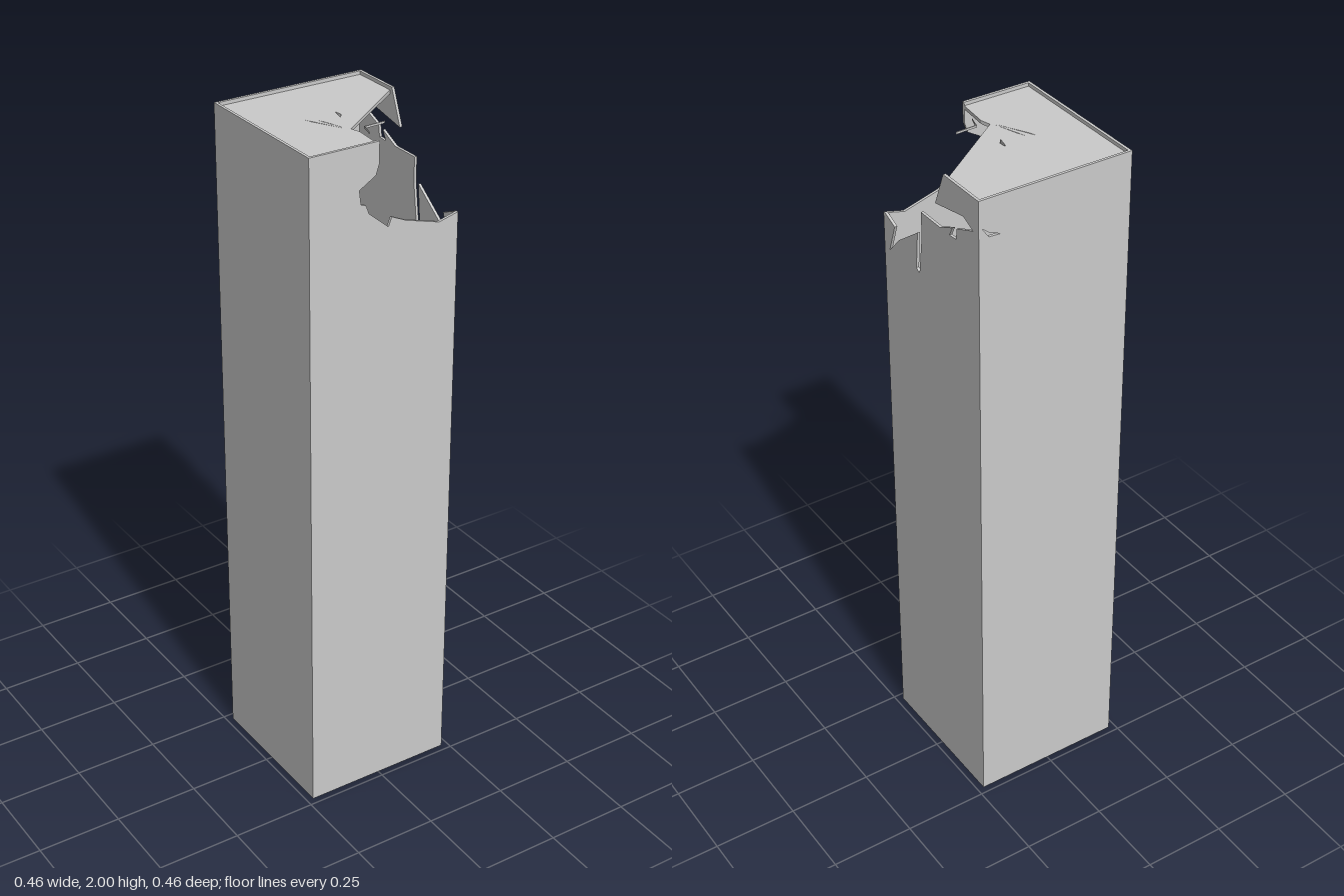
import * as THREE from 'three';

const H = 2, R = 0.23, T = 0.008, IN = R - T;
const material = new THREE.MeshStandardMaterial({ color: 0xcccccc, flatShading: true });

// Flat slab: 2D outline with optional holes, given a thickness
function slab(name, points, depth, holes = []) {
  const toVec = (p) => new THREE.Vector2(p[0], p[1]);
  const shape = new THREE.Shape(points.map(toVec));
  for (const hole of holes) shape.holes.push(new THREE.Path(hole.map(toVec)));
  const geometry = new THREE.ExtrudeGeometry(shape, { depth, bevelEnabled: false });
  const mesh = new THREE.Mesh(geometry, material);
  mesh.name = name;
  return mesh;
}

// Horizontal slab from [x, z] points, with its underside at height y
function level(name, points, y, depth, holes = []) {
  const flip = (list) => list.map(([x, z]) => [x, -z]);
  const mesh = slab(name, flip(points), depth, holes.map(flip));
  mesh.geometry.rotateX(-Math.PI / 2);
  mesh.position.y = y;
  return mesh;
}

const rect = (w, y0, y1) => [[-w, y0], [w, y0], [w, y1], [-w, y1]];

export function createModel() {
  const tower = new THREE.Group();
  tower.name = 'damagedTower';

  // Front wall with its upper corner torn away
  const front = slab('frontWall', [
    [-R, 0], [R, 0], [R, 1.75], [0.17, 1.735], [0.065, 1.765], [0.02, 1.785], [0.01, 1.76],
    [-0.05, 1.81], [-0.06, 1.835], [-0.075, 1.84], [-0.08, 1.88], [-0.03, 1.91],
    [-0.02, 1.94], [-0.02, H], [-R, H],
  ], T);
  front.position.z = IN;

  // Right wall, outline in [z, y], with jagged slits below the hole
  const rightOutline = [
    [IN, 0], [IN, 1.75], [0.175, 1.73], [0.205, 1.645], [0.155, 1.7], [0.06, 1.77],
    [0.07, 1.66], [0.055, 1.65], [0.04, 1.765], [0.04, 1.84], [-0.05, 1.84], [-0.11, 1.868],
    [-0.095, 1.84], [-0.125, 1.842], [-0.13, 1.875], [-0.205, 1.905], [-0.16, 1.925],
    [-0.03, 1.9], [-0.07, H], [-IN, H], [-IN, 0],
  ];
  const right = slab('rightWall', rightOutline.map(([z, y]) => [-z, y]), T);
  right.rotation.y = Math.PI / 2;
  right.position.x = IN;

  // Intact left wall, and back wall pierced by a small crack
  const left = slab('leftWall', rect(IN, 0, H), T);
  left.rotation.y = Math.PI / 2;
  left.position.x = -R;
  const back = slab('backWall', rect(R, 0, H), T,
    [[[0.165, 1.89], [0.2, 1.892], [0.22, 1.92], [0.198, 1.903]]]);
  back.position.z = -R;

  // Floor closing the hollow shaft
  const floor = level('floor', [[-IN, IN], [IN, IN], [IN, -IN], [-IN, -IN]], 0, T);

  // Roof sunk behind the parapet, broken off at the front corner, with splits
  const roof = level('roof', [
    [-IN, IN], [-0.02, IN], [-0.012, 0.13], [-0.02, 0.1], [IN, -0.078], [IN, -IN], [-IN, -IN],
  ], 1.98, 0.01, [
    [[-0.086, -0.016], [-0.03, 0.095], [-0.078, 0.005]],
    [[-0.062, -0.003], [-0.05, 0.025], [-0.029, 0.09]],
    [[0.012, -0.022], [0.015, 0], [0.002, 0.018], [0.007, -0.006]],
  ]);

  // Thin loose splinter beside the broken roof edge
  const splinter = level('roofSplinter', [
    [0.003, 0.15], [0.014, 0.109], [0.08, 0.106], [0.075, 0.109], [0.016, 0.112],
  ], 1.987, 0.006);

  tower.add(front, right, left, back, floor, roof, splinter);
  return tower;
}
